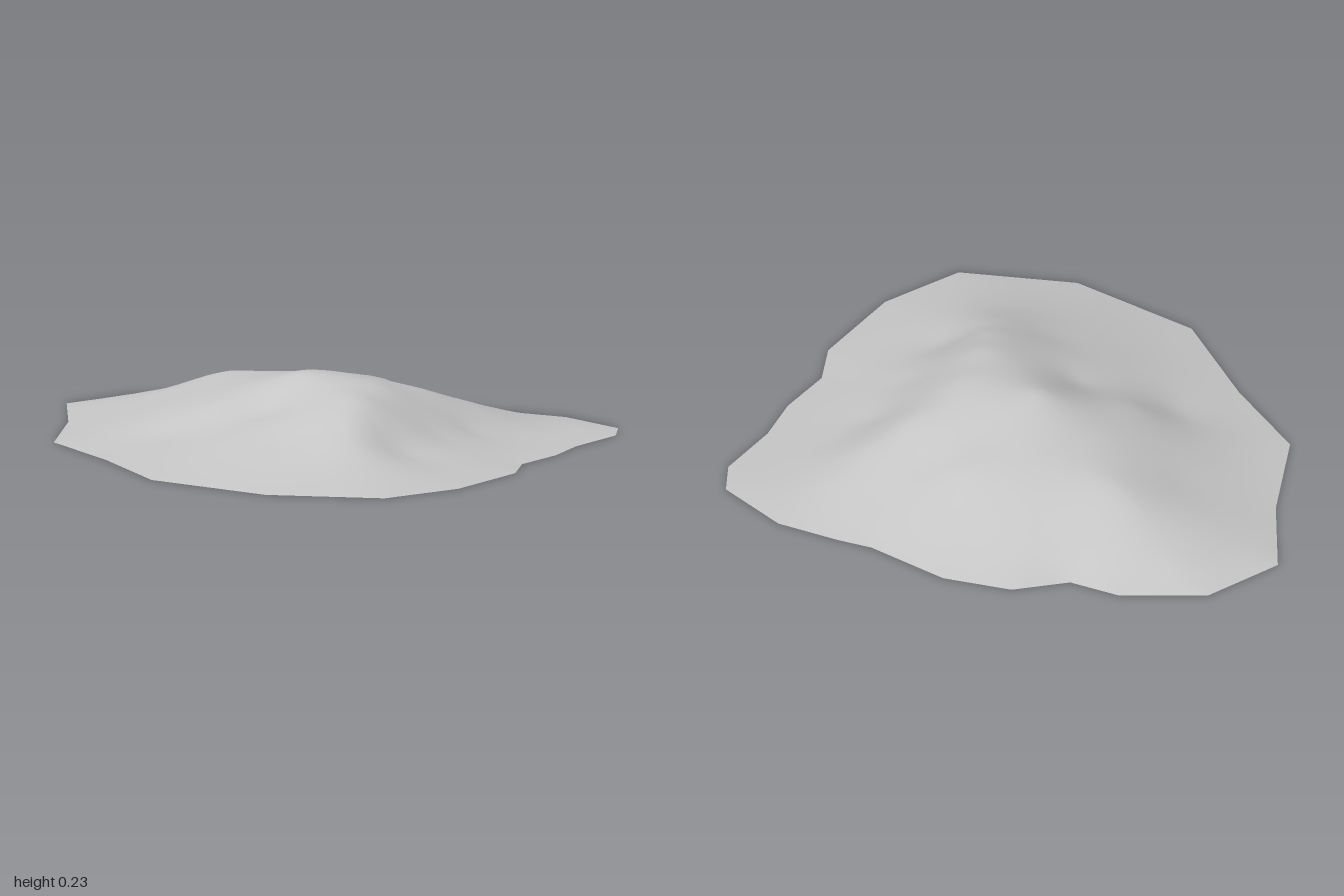
import * as THREE from 'three';

// Outline of the foot of the hill (x, z), all on the ground
const rim = [
  [-0.25, -1], [0.01, -0.87], [0.12, -0.73], [0.31, -0.68], [0.48, -0.52], [0.61, -0.26],
  [0.69, -0.17], [0.82, 0], [0.885, 0.25], [0.82, 0.36], [0.62, 0.47], [0.49, 0.58],
  [0.32, 0.67], [0.23, 0.8], [-0.06, 0.96], [-0.35, 1], [-0.67, 0.77], [-0.885, 0.37],
  [-0.86, -0.02], [-0.875, -0.36], [-0.67, -0.66], [-0.53, -0.95],
];

// Spot heights (x, z, height)
const spots = [
  // summit and front spur
  [-0.14, -0.02, 0.23], [-0.1, 0.12, 0.217], [0.03, 0.0, 0.213], [-0.1, 0.34, 0.194],
  [-0.18, 0.47, 0.152], [-0.26, 0.59, 0.105], [-0.3, 0.74, 0.048], [-0.45, 0.62, 0.055],
  // front right crest and the steep face below it
  [0.05, 0.2, 0.203], [0.26, 0.14, 0.153], [0.42, 0.12, 0.1], [0.56, 0.05, 0.056],
  [0.48, 0.29, 0.03], [0.32, 0.32, 0.052], [0.13, 0.43, 0.075], [-0.08, 0.58, 0.062],
  [0.64, 0.22, 0.018],
  // back right crest and the hollow in front of it
  [0.13, -0.1, 0.178], [0.24, -0.2, 0.148], [0.34, -0.28, 0.092], [0.31, -0.06, 0.118],
  [0.47, -0.12, 0.06],
  // back ridge
  [-0.13, -0.27, 0.18], [-0.25, -0.36, 0.154], [-0.16, -0.5, 0.154], [-0.18, -0.61, 0.12],
  [-0.2, -0.71, 0.077], [-0.22, -0.85, 0.038], [0.12, -0.35, 0.145], [0.2, -0.48, 0.085],
  // left gully and knolls
  [-0.33, 0.1, 0.13], [-0.44, -0.1, 0.125], [-0.4, 0.18, 0.115], [-0.54, 0.27, 0.075],
  [-0.6, -0.08, 0.045], [-0.74, 0.0, 0.02], [-0.7, -0.3, 0.028],
  [-0.4, 0.42, 0.095], [-0.42, -0.5, 0.08],
];

// Smooth surface through all the given points (multiquadric interpolation)
function makeHeight(points) {
  const n = points.length;
  const kernel = (dx, dz) => Math.sqrt(dx * dx + dz * dz + 0.001);
  const m = points.map(p => [...points.map(q => kernel(p[0] - q[0], p[1] - q[1])), p[2]]);
  for (let c = 0; c < n; c++) {
    let pivot = c;
    for (let r = c + 1; r < n; r++) if (Math.abs(m[r][c]) > Math.abs(m[pivot][c])) pivot = r;
    [m[c], m[pivot]] = [m[pivot], m[c]];
    for (let r = 0; r < n; r++) {
      if (r === c) continue;
      const f = m[r][c] / m[c][c];
      for (let k = c; k <= n; k++) m[r][k] -= f * m[c][k];
    }
  }
  const weights = m.map((row, i) => row[n] / row[i]);
  return (x, z) => Math.max(0, points.reduce(
    (sum, p, i) => sum + weights[i] * kernel(x - p[0], z - p[1]), 0));
}

export function createModel() {
  const stone = new THREE.MeshStandardMaterial({ color: 0xc6c6c6, side: THREE.DoubleSide });
  stone.name = 'grey stone';

  // Outline with each straight edge divided
  const SPLIT = 4, RINGS = 26, cx = -0.14, cz = -0.02;
  const edge = [];
  rim.forEach(([x, z], i) => {
    const [nx, nz] = rim[(i + 1) % rim.length];
    for (let k = 0; k < SPLIT; k++) {
      const t = k / SPLIT;
      edge.push([x + (nx - x) * t, z + (nz - z) * t]);
    }
  });
  const ground = edge.filter((_, i) => i % 2 === 0).map(([x, z]) => [x, z, 0]);
  const height = makeHeight([...spots, ...ground]);

  // Rings spreading from the summit to the outline
  const positions = [cx, height(cx, cz), cz], index = [];
  const n = edge.length;
  for (let r = 1; r <= RINGS; r++) {
    const t = r / RINGS;
    for (const [ex, ez] of edge) {
      const x = cx + (ex - cx) * t, z = cz + (ez - cz) * t;
      positions.push(x, r === RINGS ? 0 : height(x, z), z);
    }
  }
  for (let i = 0; i < n; i++) {
    const j = (i + 1) % n;
    index.push(0, 1 + j, 1 + i);
    for (let r = 0; r < RINGS - 1; r++) {
      const a = 1 + r * n, b = a + n;
      index.push(a + i, a + j, b + i, a + j, b + j, b + i);
    }
  }
  const geometry = new THREE.BufferGeometry();
  geometry.setAttribute('position', new THREE.Float32BufferAttribute(positions, 3));
  geometry.setIndex(index);
  geometry.computeVertexNormals();

  const hill = new THREE.Mesh(geometry, stone);
  hill.name = 'hill';
  const group = new THREE.Group();
  group.name = 'rockyHill';
  group.add(hill);
  return group;
}
